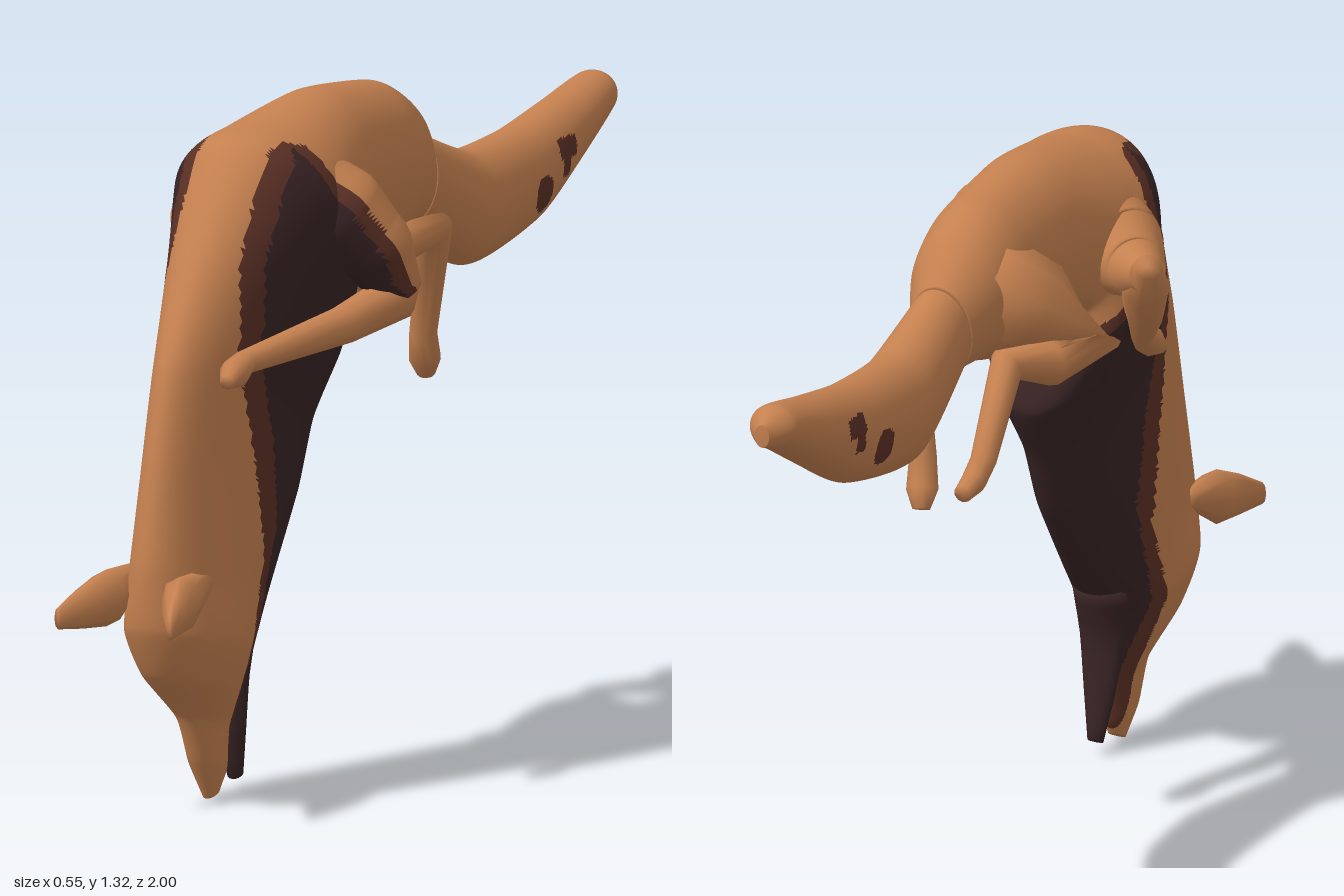
import * as THREE from 'three';

const fur = new THREE.MeshStandardMaterial({ color: 0xc4804f });
const darkFur = new THREE.MeshStandardMaterial({ color: 0x382324 });
const brownFur = new THREE.MeshStandardMaterial({ color: 0x5a3025 });
fur.name = 'tan fur';
darkFur.name = 'dark fur';
brownFur.name = 'brown fur';
const palette = [fur, brownFur, darkFur];

const V = (x, y, z) => new THREE.Vector3(x, y, z);

// Skin closed rings {c, u, v}; u x v points along the path. pick() chooses a colour per face.
function skin(name, rings, sides, pick = () => 0) {
  const pos = [];
  const faces = [[], [], []];
  for (const { c, u, v } of rings) {
    for (let j = 0; j < sides; j++) {
      const a = (j / sides) * Math.PI * 2;
      const p = c.clone().addScaledVector(u, Math.cos(a)).addScaledVector(v, Math.sin(a));
      pos.push(p.x, p.y, p.z);
    }
  }
  const last = rings.length - 1;
  for (const r of [rings[0], rings[last]]) pos.push(r.c.x, r.c.y, r.c.z);
  const tri = (...ids) => {
    const m = [0, 1, 2].map(k => ids.reduce((s, i) => s + pos[i * 3 + k], 0) / 3);
    faces[pick(...m)].push(...ids);
  };
  const first = rings.length * sides;
  for (let j = 0; j < sides; j++) {
    const n = (j + 1) % sides;
    for (let i = 0; i < last; i++) {
      const a = i * sides + j, b = i * sides + n;
      tri(a, b, a + sides);
      tri(b, b + sides, a + sides);
    }
    tri(first, n, j);
    tri(first + 1, last * sides + j, last * sides + n);
  }
  const geo = new THREE.BufferGeometry();
  geo.setAttribute('position', new THREE.Float32BufferAttribute(pos, 3));
  geo.setIndex(faces.flat());
  let start = 0;
  faces.forEach((f, i) => {
    if (f.length) geo.addGroup(start, f.length, i);
    start += f.length;
  });
  geo.computeVertexNormals();
  const mesh = new THREE.Mesh(geo, palette);
  mesh.name = name;
  return mesh;
}

// Sections [topZ, topY, bottomZ, bottomY, halfWidth], smoothed along the length
function sectionRings(sections, steps) {
  const top = new THREE.CatmullRomCurve3(sections.map(s => V(s[4], s[1], s[0])), false, 'catmullrom', 0.3);
  const bottom = new THREE.CatmullRomCurve3(sections.map(s => V(0, s[3], s[2])), false, 'catmullrom', 0.3);
  const count = (sections.length - 1) * steps;
  return Array.from({ length: count + 1 }, (_, i) => {
    const a = top.getPoint(i / count), b = bottom.getPoint(i / count);
    return {
      c: V(0.01, (a.y + b.y) / 2, (a.z + b.z) / 2),
      u: V(0, (a.y - b.y) / 2, (a.z - b.z) / 2),
      v: V(-a.x, 0, 0),
    };
  });
}

// Limb through joints [x, y, z, radius], with extra rings between the joints
function limb(name, joints, steps = 1, sides = 10, pick) {
  const full = [];
  joints.forEach((j, i) => {
    const next = joints[i + 1];
    for (let k = 0; k < (next ? steps : 1); k++) {
      full.push(next ? j.map((a, n) => a + ((next[n] - a) * k) / steps) : j);
    }
  });
  const pts = full.map(j => V(j[0], j[1], j[2]));
  const rings = pts.map((c, i) => {
    const inDir = c.clone().sub(pts[Math.max(i - 1, 0)]).normalize();
    const t = pts[Math.min(i + 1, pts.length - 1)].clone().sub(c).normalize().add(inDir).normalize();
    const u = V(0.9, 0.3, 0).addScaledVector(t, -t.x * 0.9 - t.y * 0.3).normalize();
    const v = t.clone().cross(u);
    return { c, u: u.multiplyScalar(full[i][3]), v: v.multiplyScalar(full[i][3]) };
  });
  return skin(name, rings, sides, pick);
}

// Piecewise-linear lookup of z by falling y
function border(points, y) {
  if (y >= points[0][0]) return points[0][1];
  for (let i = 1; i < points.length; i++) {
    const [y0, z0] = points[i - 1], [y1, z1] = points[i];
    if (y >= y1) return z0 + ((z1 - z0) * (y0 - y)) / (y0 - y1);
  }
  return points[points.length - 1][1];
}

const frontEdge = [[1.27, 0.54], [1.05, 0.65], [0.88, 0.67], [0.64, 0.61], [0.47, 0.58], [0.3, 0.64], [0.09, 0.61], [0, 0.585]];
const frontCore = [[1.27, 0.46], [1.2, 0.53], [1.05, 0.6], [0.88, 0.61], [0.7, 0.545], [0.52, 0.52], [0.3, 0.6], [0.09, 0.575], [0, 0.55]];
const rearEdge = [[1.28, 0.44], [1.13, 0.385], [0.98, 0.3], [0.9, 0.2], [0.88, -1]];

// Dark chest and shoulders with a brown rim
function bodyColour(x, y, z) {
  const side = Math.abs(x - 0.01) - Math.max(0, 0.48 - z) * 0.6;
  const rear = border(rearEdge, y);
  const onBack = y > 0.95 && z > 0.4;
  if (z > border(frontEdge, y) || z < rear || (onBack && side < 0.075)) return 0;
  const rim = z > border(frontCore, y) || z < rear + 0.035 || (onBack && side < 0.085);
  return rim ? 1 : 2;
}

// Small brown patches on each flank of the tail
function tailColour(x, y, z) {
  const spot = Math.hypot(z + 0.602, y - 0.977) < 0.037;
  const bar = Math.abs(z + 0.71) < 0.035 && Math.abs(y - 1.05) < 0.02;
  const stem = Math.abs(z + 0.7) < 0.016 && Math.abs(y - 1.02) < 0.025;
  return spot || bar || stem ? 1 : 0;
}

export function createModel() {
  const model = new THREE.Group();
  model.name = 'leapingAnimal';

  // Rump, arched back, chest, neck, head and muzzle
  const tailRoot = [-0.2, 1.165, -0.165, 0.985, 0.065];
  const body = [
    tailRoot, [-0.12, 1.25, -0.09, 0.985, 0.1],
    [-0.03, 1.295, 0, 0.965, 0.115], [0.2, 1.32, 0.17, 0.97, 0.13],
    [0.4, 1.295, 0.25, 0.96, 0.165], [0.54, 1.268, 0.24, 0.88, 0.185],
    [0.69, 1.07, 0.2, 0.79, 0.14], [0.8, 0.88, 0.26, 0.68, 0.1],
    [0.85, 0.7, 0.32, 0.55, 0.095], [0.885, 0.5, 0.45, 0.385, 0.1],
    [0.88, 0.37, 0.54, 0.29, 0.11], [0.83, 0.27, 0.565, 0.22, 0.085],
    [0.73, 0.175, 0.575, 0.13, 0.043], [0.685, 0.08, 0.585, 0.05, 0.033],
    [0.64, 0.0, 0.6, 0.02, 0.016],
  ];
  model.add(skin('body', sectionRings(body, 18), 100, bodyColour));

  // Open lower jaw
  const jaw = [
    [0.6, 0.35, 0.5, 0.33, 0.06], [0.58, 0.24, 0.532, 0.23, 0.048],
    [0.562, 0.13, 0.522, 0.12, 0.033], [0.535, 0.02, 0.508, 0.035, 0.016],
  ];
  model.add(skin('lowerJaw', sectionRings(jaw, 3), 14, () => 2));

  // Tail, from tip to root
  const tail = [
    [-1.0, 1.13, -1.0, 1.085, 0.015], [-0.94, 1.155, -0.95, 1.065, 0.05],
    [-0.8, 1.13, -0.8, 0.985, 0.066], [-0.61, 1.1, -0.64, 0.905, 0.078],
    [-0.4, 1.095, -0.39, 0.868, 0.082], tailRoot,
  ];
  model.add(skin('tail', sectionRings(tail, 30), 70, tailColour));

  // Ears: broad at the base, pointed, sweeping forward and outward
  for (const s of [1, -1]) {
    const ring = (x, y, z, w, h) => ({ c: V(s * x, y, z), u: V(w, 0, 0), v: V(0, h, 0) });
    const ear = [ring(0.075, 0.46, 0.76, 0.02, 0.02), ring(0.08, 0.428, 0.88, 0.042, 0.056),
      ring(0.1, 0.418, 0.94, 0.026, 0.042), ring(0.122, 0.405, 1.0, 0.008, 0.022)];
    model.add(skin(s > 0 ? 'leftEar' : 'rightEar', ear, 8));
  }

  // Shoulders: wide webs of skin from the flank to the elbow, sharing the chest markings
  model.add(limb('leftShoulder', [
    [0.05, 1.16, 0.38, 0.1], [0.14, 1.1, 0.345, 0.105], [0.2, 1.04, 0.31, 0.08], [0.235, 0.95, 0.265, 0.045],
  ], 12, 40, bodyColour));
  model.add(limb('rightShoulder', [
    [-0.05, 1.14, 0.38, 0.1], [-0.12, 1.1, 0.345, 0.095], [-0.19, 1.09, 0.28, 0.06], [-0.24, 1.1, 0.225, 0.035],
  ], 12, 40, bodyColour));

  // Forearms: elbow, wrist, paw
  model.add(limb('leftForearm', [
    [0.232, 0.97, 0.25, 0.035], [0.225, 0.94, 0.275, 0.048], [0.19, 0.908, 0.42, 0.038],
    [0.125, 0.878, 0.7, 0.024], [0.13, 0.865, 0.75, 0.03], [0.135, 0.855, 0.79, 0.015],
  ]));
  model.add(limb('rightForearm', [
    [-0.245, 1.12, 0.215, 0.028], [-0.215, 1.06, 0.265, 0.048], [-0.18, 0.98, 0.34, 0.038],
    [-0.12, 0.885, 0.45, 0.024], [-0.125, 0.87, 0.485, 0.03], [-0.13, 0.85, 0.52, 0.015],
  ]));

  // Hind legs: hip, knee, hock, ankle, foot
  model.add(limb('leftHindLeg', [
    [0.01, 1.14, -0.02, 0.08], [0.05, 1.06, 0.06, 0.075], [0.075, 1.0, 0.11, 0.045], [0.09, 0.985, 0.02, 0.042],
    [0.115, 1.0, -0.1, 0.036], [0.08, 0.79, -0.115, 0.028], [0.065, 0.735, -0.15, 0.032], [0.06, 0.7, -0.165, 0.018],
  ]));
  model.add(limb('rightHindLeg', [
    [-0.01, 1.15, -0.05, 0.1], [-0.1, 1.08, 0.01, 0.095], [-0.195, 1.0, 0.07, 0.055], [-0.15, 0.985, -0.03, 0.045],
    [-0.11, 1.01, -0.14, 0.036], [-0.1, 0.84, -0.225, 0.026], [-0.1, 0.81, -0.27, 0.025], [-0.1, 0.8, -0.32, 0.018],
  ]));

  return model;
}
